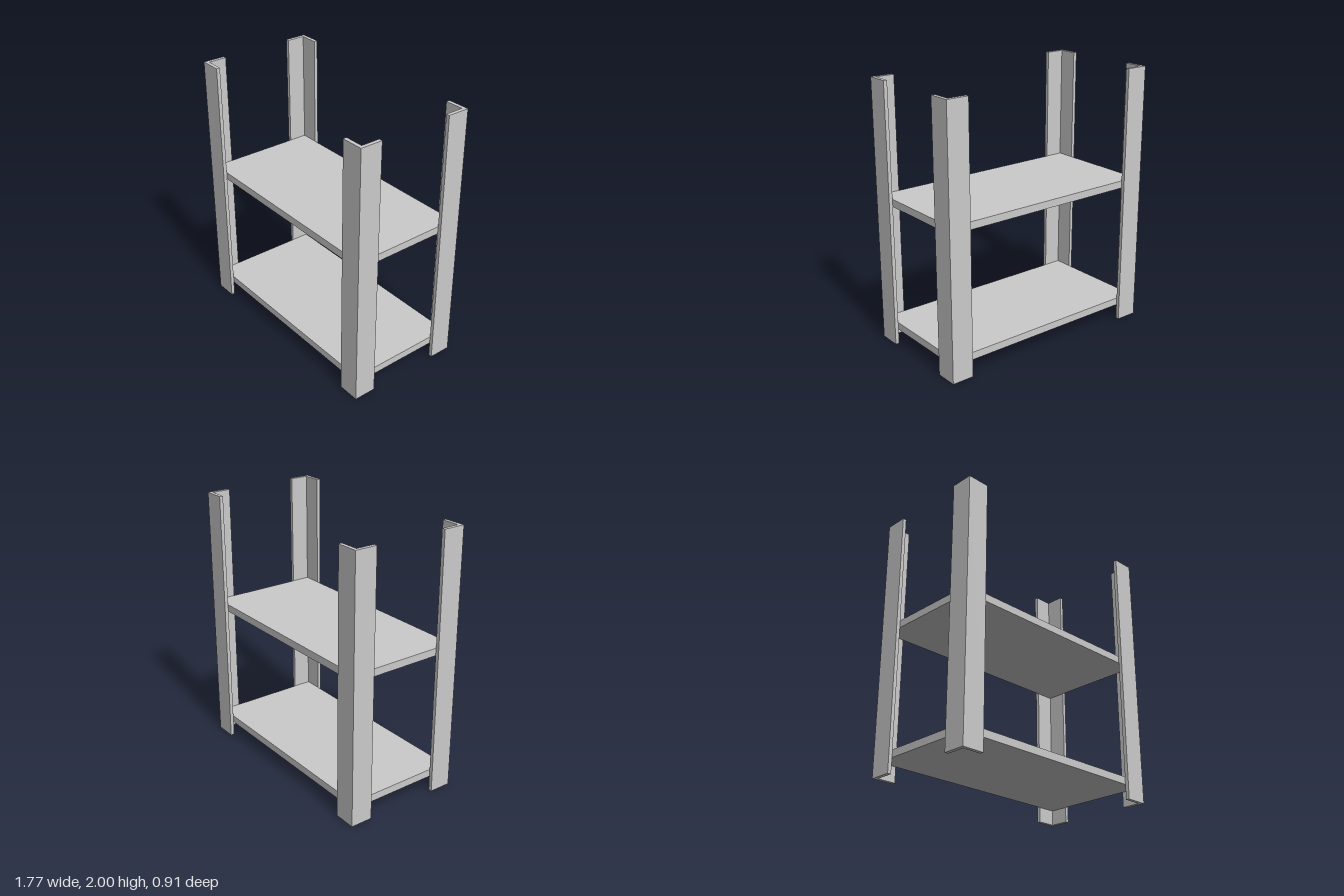
import * as THREE from 'three';

const HALF_X = 0.885, HALF_Z = 0.457; // outer faces of the posts
const HEIGHT = 2, FLANGE = 0.17, WALL = 0.028;
const SHELF_THICKNESS = 0.057;
const SHELF_BOTTOMS = { lowerShelf: 0.115, upperShelf: 1.087 };

// L-shaped angle post with its outer corner at (sx * HALF_X, sz * HALF_Z)
function anglePost(sx, sz) {
  const section = [
    [0, 0], [FLANGE, 0], [FLANGE, WALL], [WALL, WALL], [WALL, FLANGE], [0, FLANGE],
  ].map(([a, b]) => new THREE.Vector2(sx * (HALF_X - a), -sz * (HALF_Z - b)));
  const geometry = new THREE.ExtrudeGeometry(new THREE.Shape(section), { depth: HEIGHT, bevelEnabled: false });
  return geometry.rotateX(-Math.PI / 2);
}

export function createModel() {
  const group = new THREE.Group();
  group.name = 'shelfUnit';
  const material = new THREE.MeshStandardMaterial({ color: 0xcccccc });

  const add = (geometry, name) => {
    const mesh = new THREE.Mesh(geometry, material);
    mesh.name = name;
    group.add(mesh);
    return mesh;
  };

  // Four corner posts
  for (const sx of [-1, 1]) {
    for (const sz of [-1, 1]) {
      add(anglePost(sx, sz), (sz > 0 ? 'front' : 'back') + (sx > 0 ? 'Left' : 'Right') + 'Post');
    }
  }

  // Two shelves fitted inside the posts
  for (const [name, bottom] of Object.entries(SHELF_BOTTOMS)) {
    const board = new THREE.BoxGeometry(2 * (HALF_X - WALL), SHELF_THICKNESS, 2 * (HALF_Z - WALL));
    add(board, name).position.y = bottom + SHELF_THICKNESS / 2;
  }

  return group;
}
